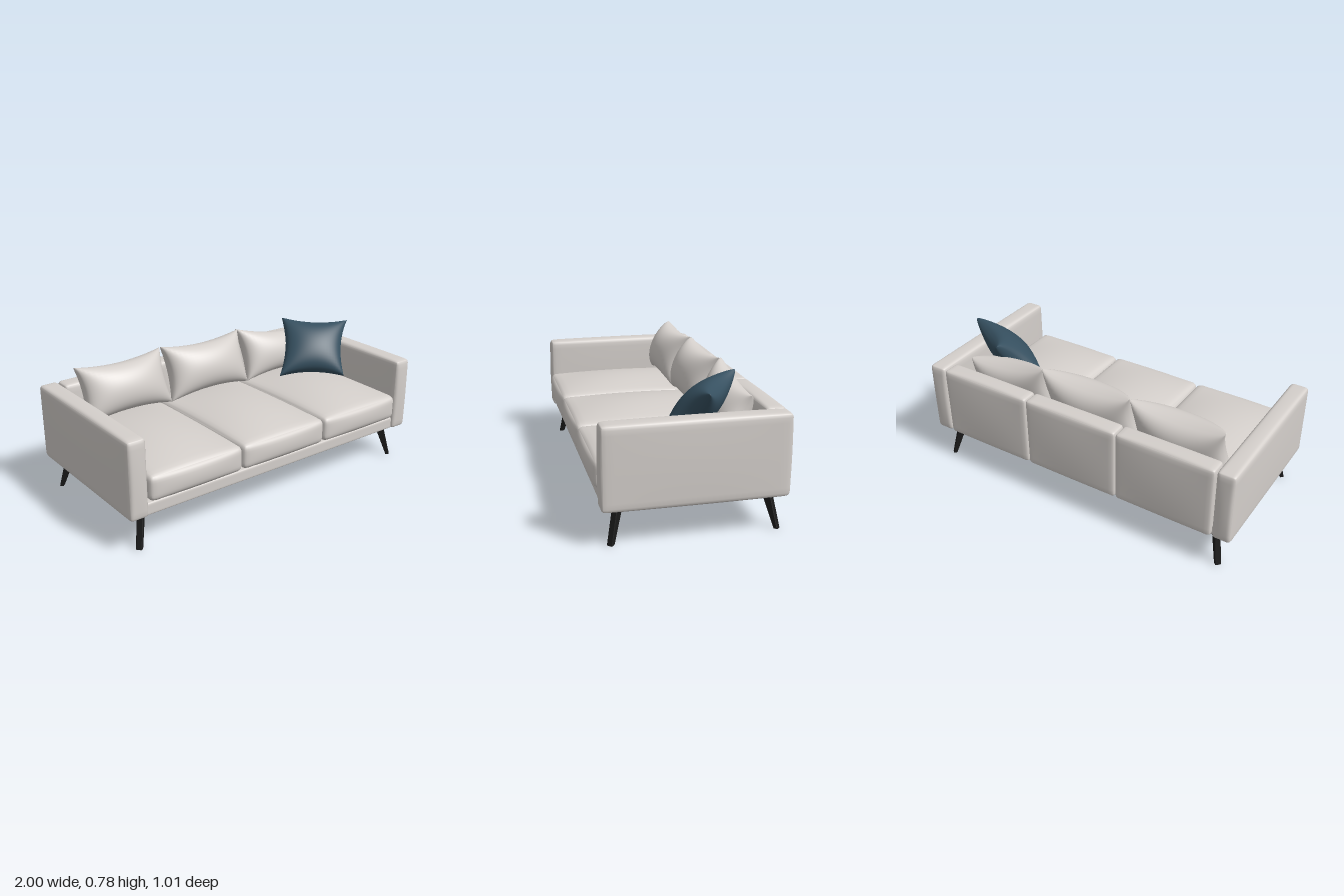
import * as THREE from 'three';
import { mergeVertices } from 'three/addons/utils/BufferGeometryUtils.js';

const fabric = new THREE.MeshStandardMaterial({ name: 'warm grey fabric', color: 0xd4cfcb });
const teal = new THREE.MeshStandardMaterial({ name: 'dark teal fabric', color: 0x365060 });
const metal = new THREE.MeshStandardMaterial({ name: 'black metal', color: 0x1a1a1a });

// Subdivided box whose vertices are moved by a rule on u, v, w (each -1..1, denser near edges)
function shapedBox(nx, ny, nz, rule) {
  const g = new THREE.BoxGeometry(2, 2, 2, nx, ny, nz);
  g.deleteAttribute('normal');
  g.deleteAttribute('uv');
  const pos = g.attributes.position;
  const ease = (t) => Math.sin(t * Math.PI / 2);
  for (let i = 0; i < pos.count; i++) {
    const p = rule(ease(pos.getX(i)), ease(pos.getY(i)), ease(pos.getZ(i)));
    pos.setXYZ(i, p.x, p.y, p.z);
  }
  const merged = mergeVertices(g, 1e-5);
  merged.computeVertexNormals();
  return merged;
}

// Upholstered block: rounded edges and softly bulging faces, given as min/max corners
function upholstered(name, min, max, radius, bulge) {
  const lo = new THREE.Vector3(...min), hi = new THREE.Vector3(...max);
  const half = hi.clone().sub(lo).multiplyScalar(0.5);
  const inner = half.clone().subScalar(radius);
  const outer = inner.clone().negate();
  const geometry = shapedBox(18, 14, 18, (u, v, w) => {
    const p = new THREE.Vector3(u, v, w).multiply(half);
    const core = p.clone().clamp(outer, inner);
    const offset = p.clone().sub(core);
    offset.setLength(Math.max(Math.abs(offset.x), Math.abs(offset.y), Math.abs(offset.z)));
    const a = 1 - u * u, b = 1 - v * v, c = 1 - w * w;
    const swell = new THREE.Vector3(bulge[0] * u * b * c, bulge[1] * v * a * c, bulge[2] * w * a * b);
    return core.add(offset).add(swell);
  });
  const mesh = new THREE.Mesh(geometry, fabric);
  mesh.name = name;
  mesh.position.copy(lo).add(hi).multiplyScalar(0.5);
  return mesh;
}

// Knife-edge pillow stretched between four corners, with pinched-in sides
function pillow(name, corners, thickness, pinch, material) {
  const [tl, tr, br, bl] = corners.map((c) => new THREE.Vector3(...c));
  const normal = tr.clone().sub(bl).cross(tl.clone().sub(br)).normalize();
  const geometry = shapedBox(24, 24, 1, (u, v, w) => {
    const s = (u * (1 - pinch * (1 - v * v)) + 1) / 2;
    const t = (v * (1 - 0.17 * (1 - u * u)) + 1) / 2;
    const low = bl.clone().lerp(br, s), high = tl.clone().lerp(tr, s);
    const fill = Math.pow(Math.max(0, (1 - u * u) * (1 - v * v)), 0.42);
    return low.lerp(high, t).addScaledVector(normal, w * (0.004 + thickness * fill));
  });
  const mesh = new THREE.Mesh(geometry, material);
  mesh.name = name;
  return mesh;
}

// Bent leg: splayed blade with a flat mounting bar running inward
function leg(name, sx, sz) {
  const shape = new THREE.Shape([
    [-0.008, 0], [0.014, 0], [0.08, 0.16], [0.325, 0.172], [0.345, 0.18], [0.345, 0.202], [0.045, 0.202],
  ].map(([x, y]) => new THREE.Vector2(x, y)));
  const geometry = new THREE.ExtrudeGeometry(shape, {
    depth: 0.026, bevelEnabled: true, bevelThickness: 0.004, bevelSize: 0.003, bevelOffset: -0.003, bevelSegments: 1,
  });
  geometry.translate(0, 0, -0.013);
  const mesh = new THREE.Mesh(geometry, metal);
  mesh.name = name;
  mesh.position.set(sx * 0.925, 0, sz * 0.438 - 0.016);
  mesh.rotation.y = Math.atan2(sz, -sx);
  return mesh;
}

export function createModel() {
  const sofa = new THREE.Group();
  sofa.name = 'sofa';

  // Base platform, visible as the front rail
  sofa.add(upholstered('base', [-0.92, 0.2, -0.47], [0.92, 0.272, 0.46], 0.012, [0, 0, 0]));

  // Arms
  for (const s of [-1, 1]) {
    const x = [s * 0.885, s * 0.995].sort((a, b) => a - b);
    sofa.add(upholstered(s > 0 ? 'leftArm' : 'rightArm', [x[0], 0.2, -0.49], [x[1], 0.64, 0.475], 0.022, [0.005, 0.006, 0.008]));
  }

  // Back panels and seat cushions, three of each
  [-1, 0, 1].forEach((i) => {
    const side = ['right', 'middle', 'left'][i + 1];
    const c = i * 0.588;
    sofa.add(upholstered(side + 'BackPanel', [c - 0.293, 0.202, -0.495], [c + 0.293, 0.638, -0.385], 0.022, [0, 0.007, 0.01]));
    sofa.add(upholstered(side + 'SeatCushion', [c - 0.293, 0.278, -0.385], [c + 0.293, 0.428, 0.488], 0.035, [0.002, 0.048, 0.015]));
  });

  // Loose back cushions; the left one slumps at its outer corner
  sofa.add(pillow('rightBackCushion', [[-0.85, 0.755, -0.33], [-0.295, 0.76, -0.33], [-0.285, 0.45, -0.22], [-0.85, 0.45, -0.22]], 0.12, 0.1, fabric));
  sofa.add(pillow('middleBackCushion', [[-0.285, 0.76, -0.33], [0.28, 0.76, -0.33], [0.285, 0.45, -0.22], [-0.285, 0.45, -0.22]], 0.12, 0.1, fabric));
  sofa.add(pillow('leftBackCushion', [[0.28, 0.76, -0.34], [0.79, 0.68, -0.34], [0.85, 0.45, -0.22], [0.285, 0.45, -0.22]], 0.105, 0.1, fabric));

  // Throw pillow resting on the left arm
  sofa.add(pillow('throwPillow', [[0.63, 0.78, -0.3], [0.98, 0.757, -0.06], [0.785, 0.475, 0.13], [0.45, 0.48, -0.1]], 0.09, 0.15, teal));

  // Legs
  for (const sx of [-1, 1]) for (const sz of [-1, 1]) {
    sofa.add(leg((sz > 0 ? 'front' : 'back') + (sx > 0 ? 'Left' : 'Right') + 'Leg', sx, sz));
  }
  return sofa;
}
